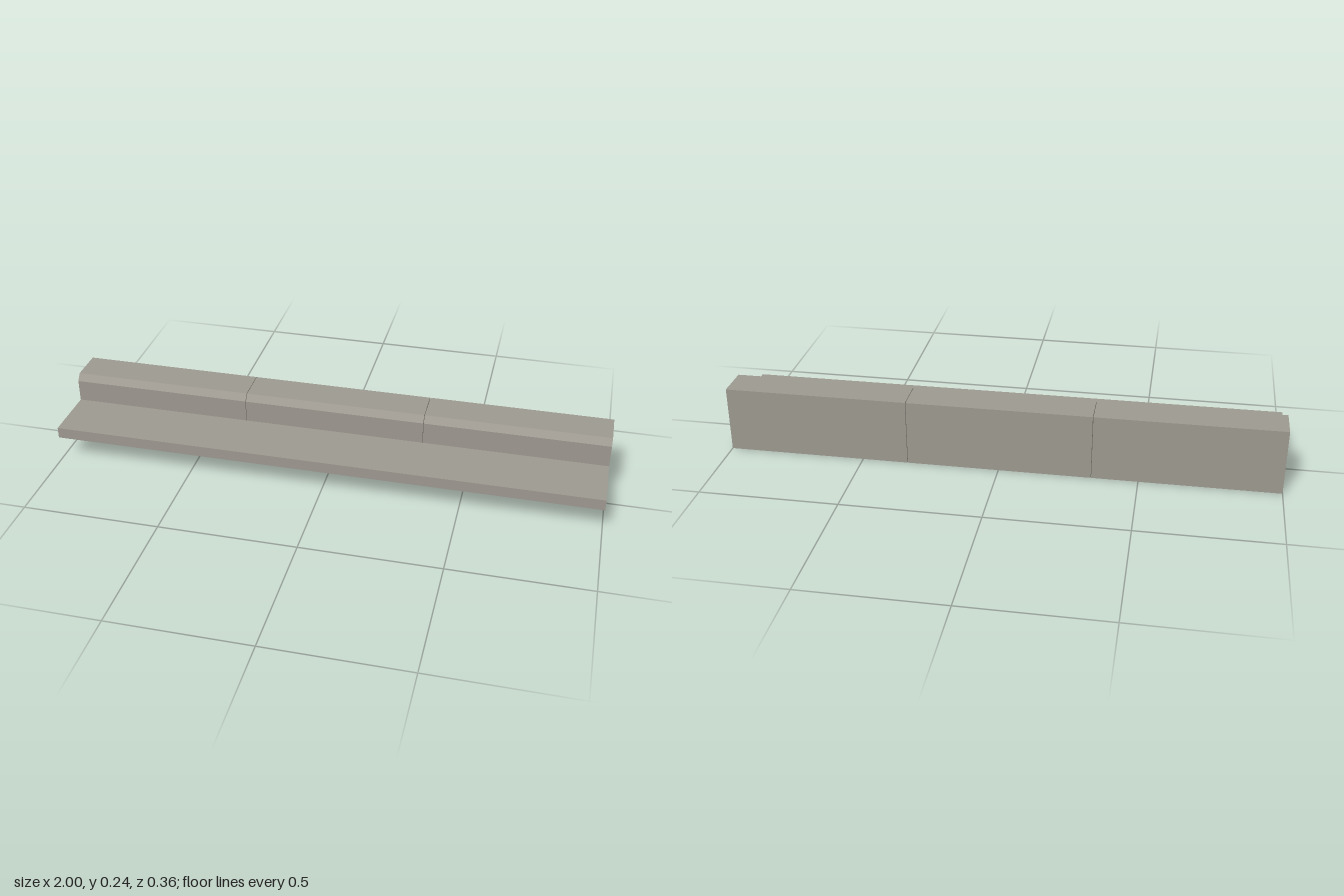
import * as THREE from 'three';

export function createModel() {
  const model = new THREE.Group();
  model.name = 'ledgeWall';
  const stone = new THREE.MeshStandardMaterial({ color: 0x9e9a91 });
  stone.name = 'warm grey stone';

  // Block cross-section with a chamfered upper front edge, as (-z, y)
  const section = new THREE.Shape([
    [0.033, 0], [0.179, 0], [0.179, 0.242], [0.052, 0.242], [0.033, 0.218],
  ].map(([a, y]) => new THREE.Vector2(a, y)));

  // Three blocks in a row with hairline joints
  const count = 3, gap = 0.002;
  const width = (2 - gap * (count - 1)) / count;
  for (let i = 0; i < count; i++) {
    const geometry = new THREE.ExtrudeGeometry(section, { depth: width, bevelEnabled: false });
    geometry.rotateY(Math.PI / 2);
    const block = new THREE.Mesh(geometry, stone);
    block.name = `wallBlock${i + 1}`;
    block.position.x = -1 + i * (width + gap);
    model.add(block);
  }

  // Continuous slab projecting from the front of the blocks
  const slab = new THREE.Mesh(new THREE.BoxGeometry(2, 0.041, 0.213), stone);
  slab.name = 'ledgeSlab';
  slab.position.set(0, 0.1155, 0.0735);
  model.add(slab);

  return model;
}
